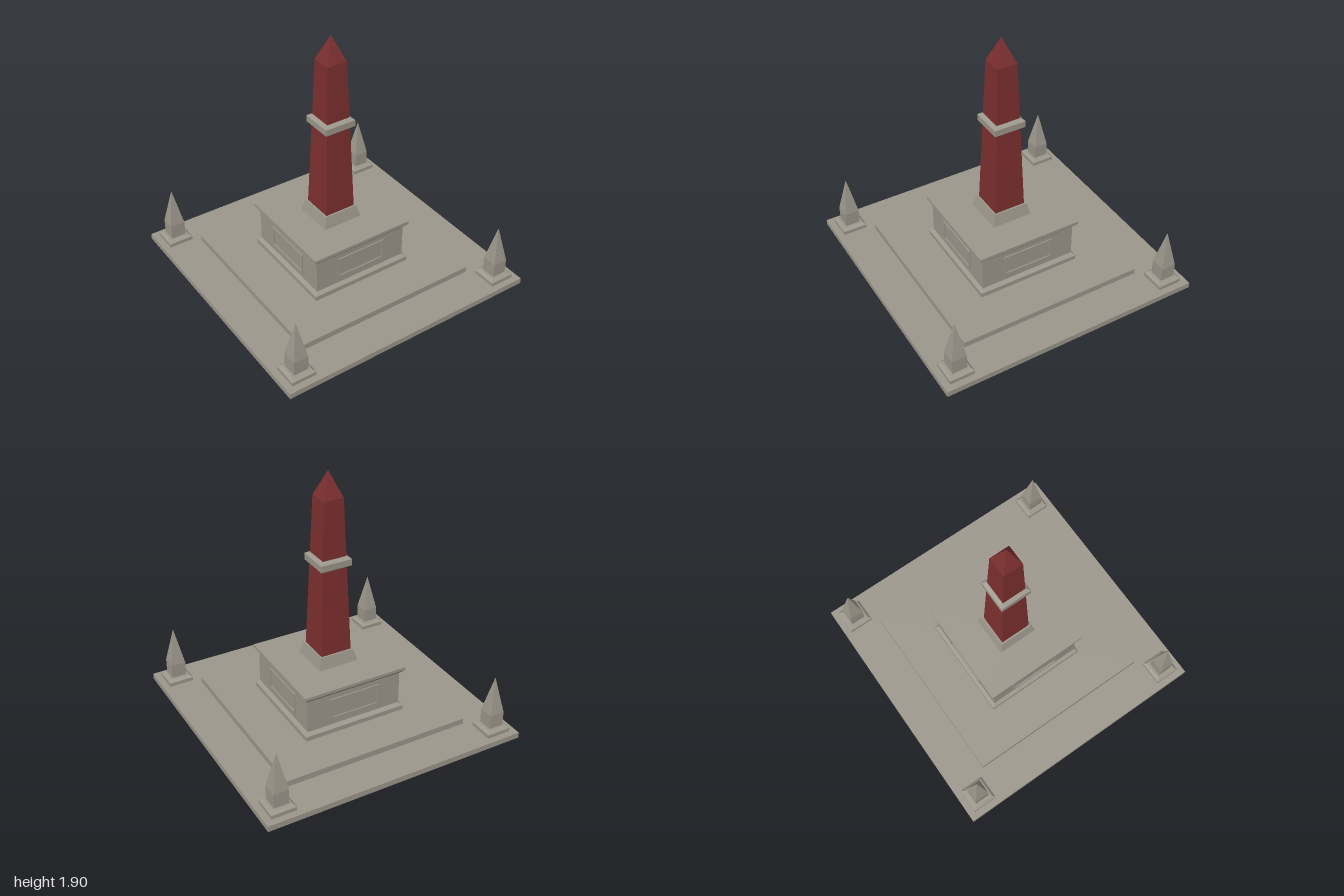
import * as THREE from 'three';

const stone = new THREE.MeshStandardMaterial({ color: 0x9c978b });
stone.name = 'grey stone';
const red = new THREE.MeshStandardMaterial({ color: 0x7d2f2f });
red.name = 'red granite';

// Square stack: profile of [half width, y] from bottom to top, capped at both ends
function squareStack(name, profile, material) {
  const closed = [[0, profile[0][1]], ...profile, [0, profile[profile.length - 1][1]]];
  const points = closed.map(([half, y]) => new THREE.Vector2(half * Math.SQRT2, y));
  const geometry = new THREE.LatheGeometry(points, 4, Math.PI / 4).toNonIndexed();
  geometry.computeVertexNormals();
  const mesh = new THREE.Mesh(geometry, material);
  mesh.name = name;
  return mesh;
}

// Raised rectangular frame for one face of the pedestal
function panelFrame() {
  const rect = (path, w, h) => path.moveTo(-w, -h).lineTo(w, -h).lineTo(w, h).lineTo(-w, h).closePath();
  const shape = rect(new THREE.Shape(), 0.2, 0.085);
  shape.holes.push(rect(new THREE.Path(), 0.182, 0.067));
  return new THREE.ExtrudeGeometry(shape, { depth: 0.012, bevelEnabled: false });
}

export function createModel() {
  const model = new THREE.Group();
  model.name = 'obelisk monument';

  // Stepped platform
  model.add(squareStack('lowerStep', [[1, 0], [1, 0.043]], stone));
  model.add(squareStack('upperStep', [[0.715, 0.043], [0.715, 0.088]], stone));

  // Pedestal with moulded plinth and cornice
  model.add(squareStack('pedestal', [
    [0.4, 0.088], [0.4, 0.123], [0.375, 0.145], [0.375, 0.406],
    [0.385, 0.406], [0.405, 0.43], [0.405, 0.453],
  ], stone));

  // Framed panel on each face
  const frame = panelFrame();
  for (let i = 0; i < 4; i++) {
    const side = new THREE.Group();
    side.name = 'pedestalPanel';
    const mesh = new THREE.Mesh(frame, stone);
    mesh.name = 'panelFrame';
    mesh.position.set(0, 0.275, 0.372);
    side.add(mesh);
    side.rotation.y = i * Math.PI / 2;
    model.add(side);
  }

  // Main obelisk: foot, tapered shaft with pyramid tip, collar
  model.add(squareStack('obeliskFoot', [[0.155, 0.453], [0.132, 0.543]], stone));
  model.add(squareStack('obeliskShaft', [[0.119, 0.543], [0.077, 1.712], [0, 1.9]], red));
  model.add(squareStack('obeliskCollar', [
    [0.098, 1.2], [0.121, 1.217], [0.121, 1.265], [0.096, 1.283],
  ], stone));

  // Small corner obelisks
  for (const x of [-0.858, 0.858]) {
    for (const z of [-0.858, 0.858]) {
      const corner = new THREE.Group();
      corner.name = 'cornerObelisk';
      corner.add(squareStack('cornerBase', [[0.093, 0.043], [0.093, 0.072], [0.074, 0.09]], stone));
      corner.add(squareStack('cornerSpire', [[0.056, 0.09], [0.056, 0.2], [0, 0.48]], stone));
      corner.position.set(x, 0, z);
      model.add(corner);
    }
  }
  return model;
}
